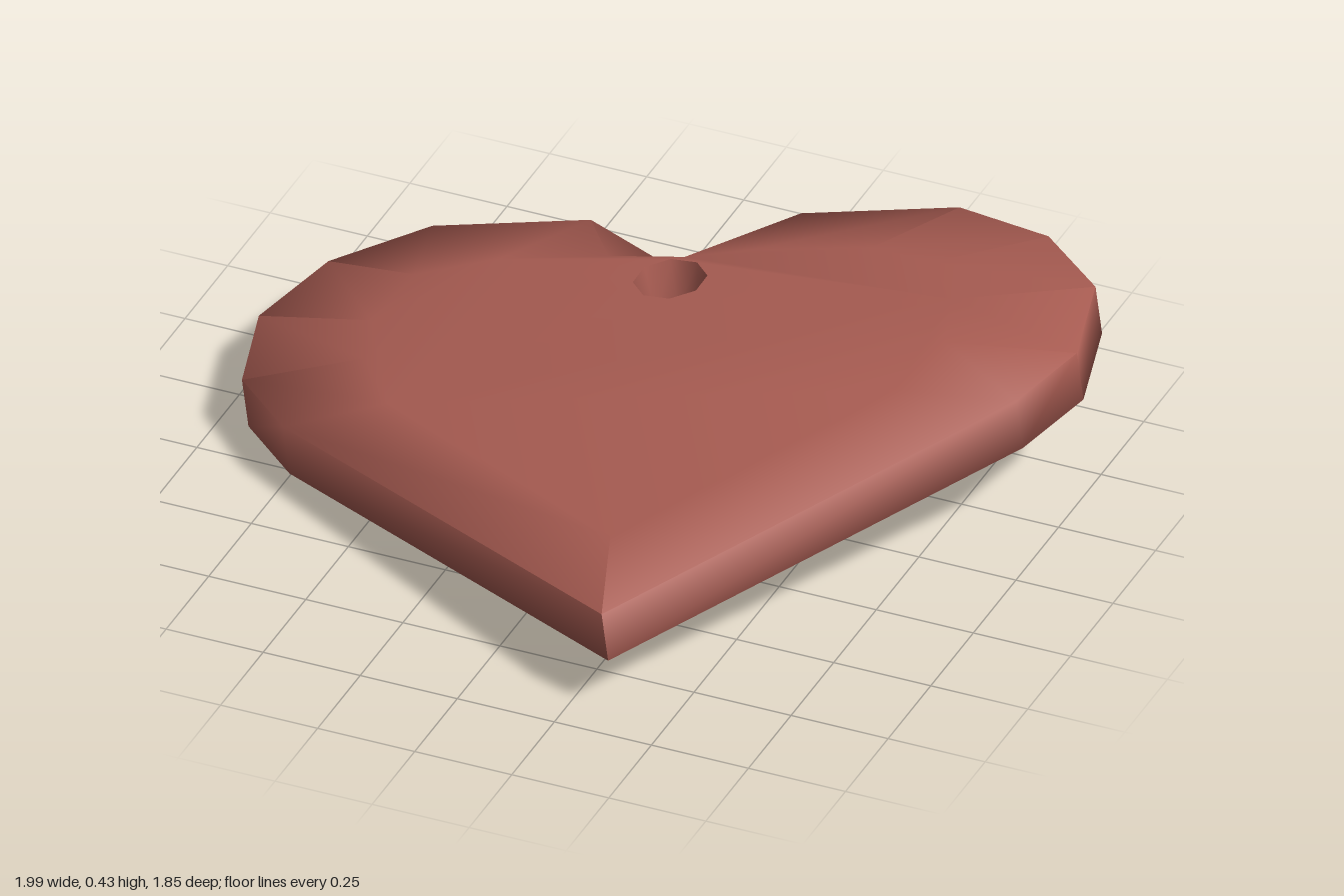
import * as THREE from 'three';
import { toCreasedNormals } from 'three/addons/utils/BufferGeometryUtils.js';

// Outline of the heart (x, z), clockwise from the cleft as seen from above
const RIM = [
  [-0.075, -0.51], [0.095, -0.82], [0.455, -0.93], [0.715, -0.86], [0.915, -0.68],
  [0.99, -0.40], [0.935, -0.17], [0.345, 0.92], [-0.735, 0.33], [-0.915, 0.16],
  [-0.99, -0.11], [-0.925, -0.37], [-0.745, -0.57], [-0.385, -0.68],
];
// Edge of the flat faces, one point per outline point
const FACE = [
  [-0.05, -0.487], [0.09, -0.55], [0.37, -0.625], [0.54, -0.60], [0.65, -0.46],
  [0.71, -0.28], [0.68, -0.06], [0.275, 0.69], [-0.485, 0.27], [-0.62, 0.10],
  [-0.67, -0.06], [-0.65, -0.27], [-0.48, -0.38], [-0.23, -0.45],
];
const RIM_HALF = 0.065;
const FACE_HALF = 0.13;

// The pendant lies tilted: its middle plane is y = 0.207 + 0.116x - 0.033z
const SLOPE = { x: 0.116, z: -0.033, y: 0.207 };
const NORMAL = new THREE.Vector3(-SLOPE.x, 1, -SLOPE.z).normalize();

function lift(points, height) {
  return points.map(([x, z]) =>
    new THREE.Vector3(x, SLOPE.y + SLOPE.x * x + SLOPE.z * z, z).addScaledVector(NORMAL, height));
}

// Eight-sided ring of the cord hole, clockwise like the outline
function holeRing(radius) {
  return Array.from({ length: 8 }, (_, i) => {
    const a = ((i + 0.5) / 8) * Math.PI * 2;
    return [-0.045 + radius * Math.cos(a), -0.39 + radius * Math.sin(a)];
  });
}

function heartGeometry() {
  const positions = [];
  const triangle = (a, b, c) => positions.push(...a.toArray(), ...b.toArray(), ...c.toArray());

  // Joins closed rings with bands of quads
  const loft = (rings) => {
    for (let r = 0; r < rings.length - 1; r++) {
      const p = rings[r], q = rings[r + 1];
      for (let i = 0; i < p.length; i++) {
        const j = (i + 1) % p.length;
        triangle(p[i], p[j], q[j]);
        triangle(p[i], q[j], q[i]);
      }
    }
  };

  // Flat face with the hole cut out
  const cap = (height, up) => {
    const hole = holeRing(0.088);
    const flat = (points) => points.map(([x, z]) => new THREE.Vector2(x, z));
    const verts = lift([...FACE, ...hole], height);
    for (const [a, b, c] of THREE.ShapeUtils.triangulateShape(flat(FACE), [flat(hole)])) {
      const ab = verts[b].clone().sub(verts[a]);
      const ac = verts[c].clone().sub(verts[a]);
      if ((ab.cross(ac).y > 0) === up) triangle(verts[a], verts[b], verts[c]);
      else triangle(verts[a], verts[c], verts[b]);
    }
  };

  // Bevelled edge: upper slope, rim wall, lower slope
  loft([
    lift(FACE, FACE_HALF), lift(RIM, RIM_HALF),
    lift(RIM, -RIM_HALF), lift(FACE, -FACE_HALF),
  ]);
  // Hole wall, narrowing at the waist
  loft([
    lift(holeRing(0.088), -FACE_HALF), lift(holeRing(0.07), 0),
    lift(holeRing(0.088), FACE_HALF),
  ]);
  cap(FACE_HALF, true);
  cap(-FACE_HALF, false);

  const geometry = new THREE.BufferGeometry();
  geometry.setAttribute('position', new THREE.Float32BufferAttribute(positions, 3));
  return toCreasedNormals(geometry, THREE.MathUtils.degToRad(79));
}

export function createModel() {
  const group = new THREE.Group();
  group.name = 'heartPendant';
  const heart = new THREE.Mesh(
    heartGeometry(), new THREE.MeshStandardMaterial({ color: 0xa85c52 }));
  heart.name = 'heart';
  group.add(heart);
  return group;
}
